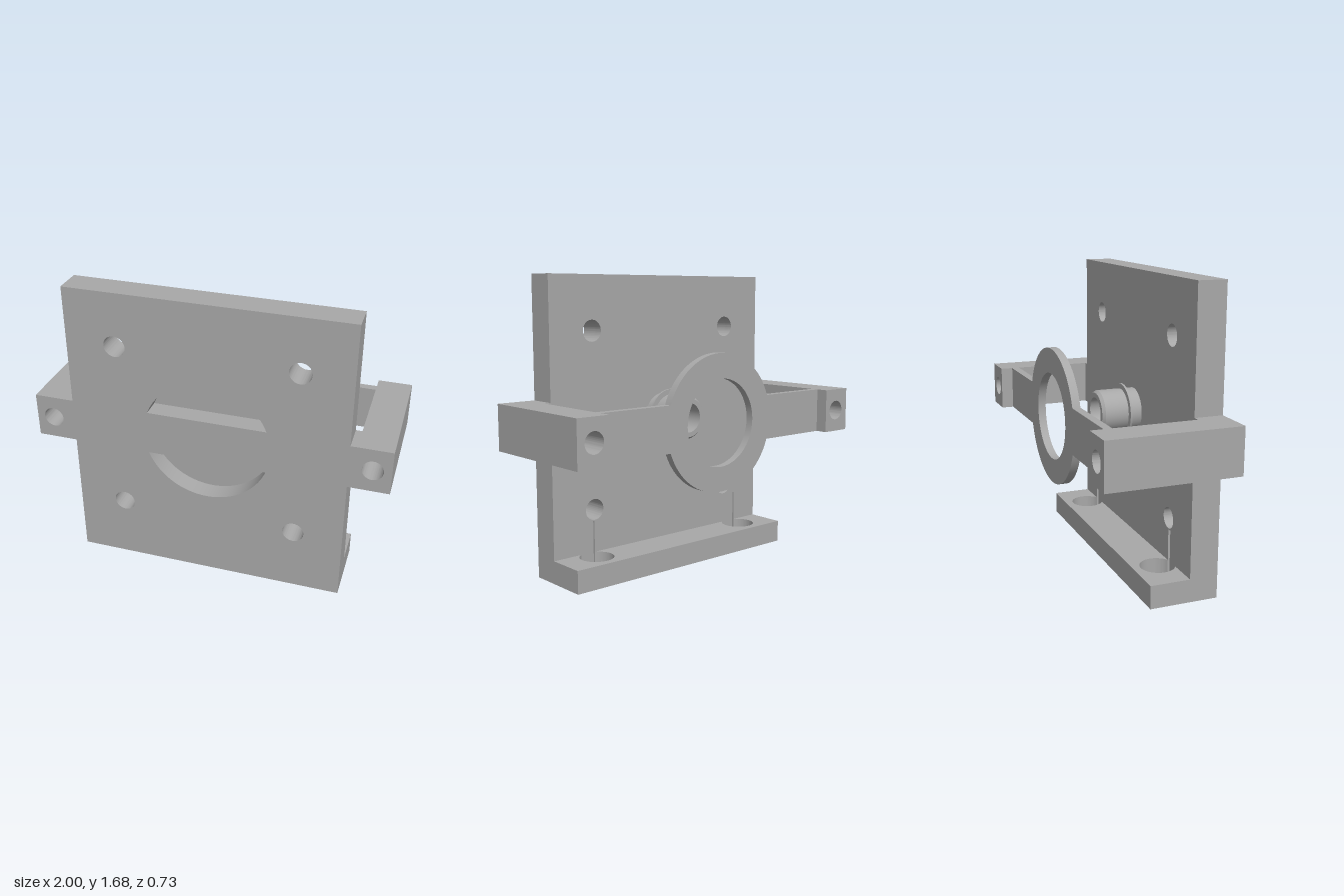
import * as THREE from 'three';
import { toCreasedNormals } from 'three/addons/utils/BufferGeometryUtils.js';

const CY = 0.8725;            // height of the hub, bar and strap axis
const H = 0.1275;             // half height of bar and arms
const BACK = 0.205, FRONT = 0.365;

export function createModel() {
  const model = new THREE.Group();
  model.name = 'mountingBracket';
  const grey = new THREE.MeshStandardMaterial({ color: 0xa8a8a8 });
  grey.name = 'grey';

  const add = (name, geometry) => {
    const mesh = new THREE.Mesh(toCreasedNormals(geometry, 0.5), grey);
    mesh.name = name;
    model.add(mesh);
    return mesh;
  };
  // extrude a shape from z0 to z1
  const slab = (shape, z0, z1) => new THREE.ExtrudeGeometry(shape, {
    depth: z1 - z0, bevelEnabled: false, curveSegments: 40,
  }).translate(0, 0, z0);
  const polygon = (pts) => new THREE.Shape(pts.map(([x, y]) => new THREE.Vector2(x, y)));
  const drill = (shape, x, y, r) =>
    shape.holes.push(new THREE.Path().absarc(x, y, r, 0, Math.PI * 2, true));

  // plate outline with the side stubs, screw holes and optional notches at the foot
  const plateShape = (notched) => {
    const pts = [[-0.775, 0]];
    if (notched) {
      for (const x of [-0.55, 0.55]) {
        pts.push([x - 0.047, 0], [x - 0.047, 0.31], [x + 0.047, 0.31], [x + 0.047, 0]);
      }
    }
    pts.push([0.775, 0], [0.775, CY - H], [1, CY - H], [1, CY + H], [0.775, CY + H],
      [0.775, 1.68], [-0.775, 1.68], [-0.775, CY + H], [-1, CY + H], [-1, CY - H],
      [-0.775, CY - H]);
    const s = polygon(pts);
    for (const side of [-1, 1]) {
      drill(s, side * 0.5, 0.375, 0.06);
      drill(s, side * 0.5, 1.375, 0.06);
      drill(s, side * 0.9, CY, 0.057);
    }
    return s;
  };

  // front layer: round pocket split by the cross bar
  const front = plateShape(false);
  const R = 0.357, a = Math.asin(H / R);
  front.holes.push(new THREE.Path().absarc(0, CY, R, a, Math.PI - a, false));
  front.holes.push(new THREE.Path().absarc(0, CY, R, Math.PI + a, Math.PI * 2 - a, false));
  add('plateFront', slab(front, 0.255, FRONT));
  add('plateCore', slab(plateShape(false), 0.217, 0.255));
  add('plateBack', slab(plateShape(true), BACK, 0.217));

  // foot with two vertical holes that break into the plate; drawn in x, -z
  const foot = new THREE.Shape();
  const hr = 0.097, hz = 0.12, b = Math.asin((BACK - hz) / hr);
  foot.moveTo(-0.775, -BACK);
  for (const x of [-0.55, 0.55]) {
    foot.lineTo(x - hr * Math.cos(b), -BACK);
    foot.absarc(x, -hz, hr, Math.PI + b, -b, true);
  }
  foot.lineTo(0.775, -BACK);
  foot.lineTo(0.775, 0.02);
  foot.lineTo(-0.775, 0.02);
  add('foot', slab(foot, 0, 0.13).rotateX(-Math.PI / 2));

  // side arms, drilled along their length
  for (const side of [-1, 1]) {
    const x0 = side > 0 ? 0.81 : -1, x1 = x0 + 0.19;
    const arm = polygon([[x0, CY - H], [x1, CY - H], [x1, CY + H], [x0, CY + H]]);
    drill(arm, side * 0.9, CY, 0.057);
    add(side > 0 ? 'leftArm' : 'rightArm', slab(arm, -0.365, BACK));
  }

  // rear strap widening into a ring
  const ro = 0.385, t = Math.asin(H / ro);
  const strap = new THREE.Shape();
  strap.moveTo(0.81, CY - H);
  strap.lineTo(0.81, CY + H);
  strap.absarc(0, CY, ro, t, Math.PI - t, false);
  strap.lineTo(-0.81, CY + H);
  strap.lineTo(-0.81, CY - H);
  strap.absarc(0, CY, ro, Math.PI + t, Math.PI * 2 - t, false);
  drill(strap, 0, CY, 0.245);
  add('ringStrap', slab(strap, -0.295, -0.25));

  // hollow hub with a thin flange on the back of the plate
  const profile = [[0, 0.2], [0.085, 0.2], [0.085, -0.03], [0.112, -0.03], [0.125, -0.013],
    [0.125, 0.125], [0.155, 0.125], [0.155, 0.137], [0.125, 0.137], [0.125, BACK]]
    .map(([r, z]) => new THREE.Vector2(r, z));
  add('hub', new THREE.LatheGeometry(profile, 48).rotateX(Math.PI / 2).translate(0, CY, 0));

  return model;
}
